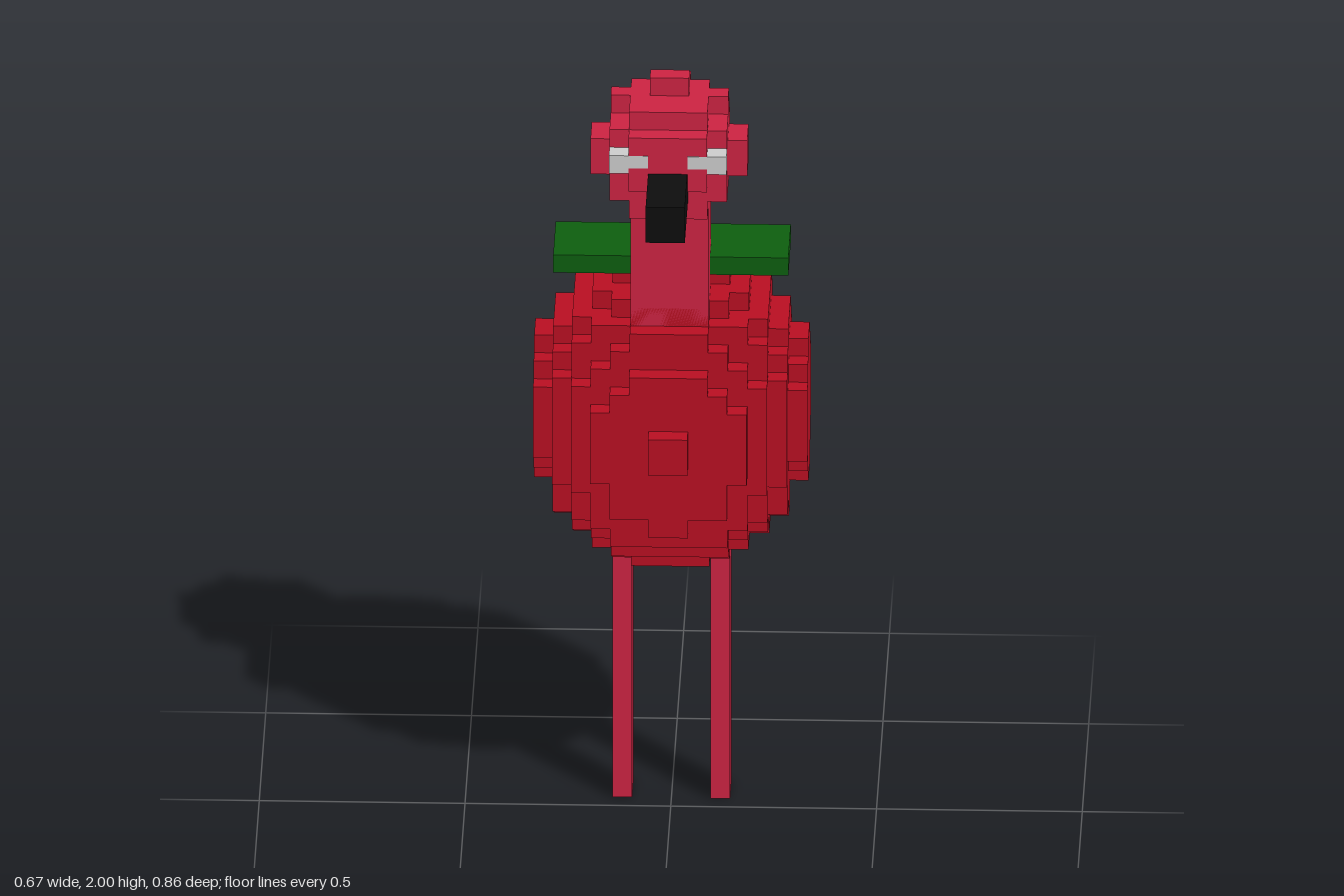
import * as THREE from 'three';

const U = 2 / 42; // edge of one cube

const material = (name, color) => {
  const m = new THREE.MeshStandardMaterial({ color });
  m.name = name;
  return m;
};

// Box given by its corner coordinates in cube units
function block(name, mat, [x0, y0, z0], [x1, y1, z1]) {
  const g = new THREE.BoxGeometry((x1 - x0) * U, (y1 - y0) * U, (z1 - z0) * U);
  g.translate((x0 + x1) / 2 * U, (y0 + y1) / 2 * U, (z0 + z1) / 2 * U);
  const mesh = new THREE.Mesh(g, mat);
  mesh.name = name;
  return mesh;
}

// Outer faces of all unit cubes whose centre satisfies the inside rule
function cubes(name, mat, lo, hi, inside) {
  const pos = [];
  const filled = (c) => c.every((v, i) => v >= lo[i] && v < hi[i]) &&
    inside(c[0] + 0.5, c[1] + 0.5, c[2] + 0.5);
  for (let x = lo[0]; x < hi[0]; x++)
    for (let y = lo[1]; y < hi[1]; y++)
      for (let z = lo[2]; z < hi[2]; z++) {
        const c = [x, y, z];
        if (!filled(c)) continue;
        for (let a = 0; a < 3; a++)
          for (const s of [-1, 1]) {
            const next = [...c];
            next[a] += s;
            if (filled(next)) continue;
            const corner = (u, v) => {
              const p = [...c];
              p[a] += s > 0 ? 1 : 0;
              p[(a + 1) % 3] += u;
              p[(a + 2) % 3] += v;
              return p.map((k) => k * U);
            };
            const q = [corner(0, 0), corner(1, 0), corner(1, 1), corner(0, 1)];
            if (s < 0) q.reverse();
            for (const i of [0, 1, 2, 0, 2, 3]) pos.push(...q[i]);
          }
      }
  const g = new THREE.BufferGeometry();
  g.setAttribute('position', new THREE.Float32BufferAttribute(pos, 3));
  g.computeVertexNormals();
  const mesh = new THREE.Mesh(g, mat);
  mesh.name = name;
  return mesh;
}

export function createModel() {
  const red = material('body red', 0xb80f22);
  const pink = material('pink', 0xcc2342);
  const green = material('collar green', 0x0d5e0f);
  const black = material('beak black', 0x0d0d0d);
  const white = material('eye grey', 0xcccccc);
  const model = new THREE.Group();
  model.name = 'bird';

  // Stepped egg-shaped body
  model.add(cubes('body', red, [-7, 14, -9], [7, 30, 5], (x, y, z) =>
    (x / 7.3) ** 2 + ((y - 21.8) / 8.29) ** 2 + ((z + 2) / 6.58) ** 2 < 1));

  // Stepped round head, a little flatter underneath
  model.add(cubes('head', pink, [-4, 35, -1], [4, 42, 5], (x, y, z) => {
    if (z > 4 && y < 37) return false;
    const dy = (y - 37.9) * (y < 37.9 ? 1.15 : 1);
    return x * x + dy * dy + (z - 1.7) ** 2 < 13.5;
  }));

  model.add(block('neck', pink, [-2, 28, -2], [2, 39, 2]));
  model.add(block('collar', green, [-6, 30, -4], [6, 31, 0]));
  model.add(block('beak', black, [-1, 36, 4], [1, 38, 9]));

  // Legs, eyes and their inner plates on both sides
  for (const [side, s] of [['left', 1], ['right', -1]]) {
    const pair = (name, mat, a, b, y0, y1, z0, z1) => model.add(block(side + name, mat,
      [Math.min(s * a, s * b), y0, z0], [Math.max(s * a, s * b), y1, z1]));
    pair('Leg', pink, 2, 3, 0, 14, -3, -1);
    pair('Eye', white, 2, 3, 38, 39, 4, 5);
    pair('EyeInner', white, 1, 2, 38.3, 39, 4.9, 5.03);
  }
  return model;
}
